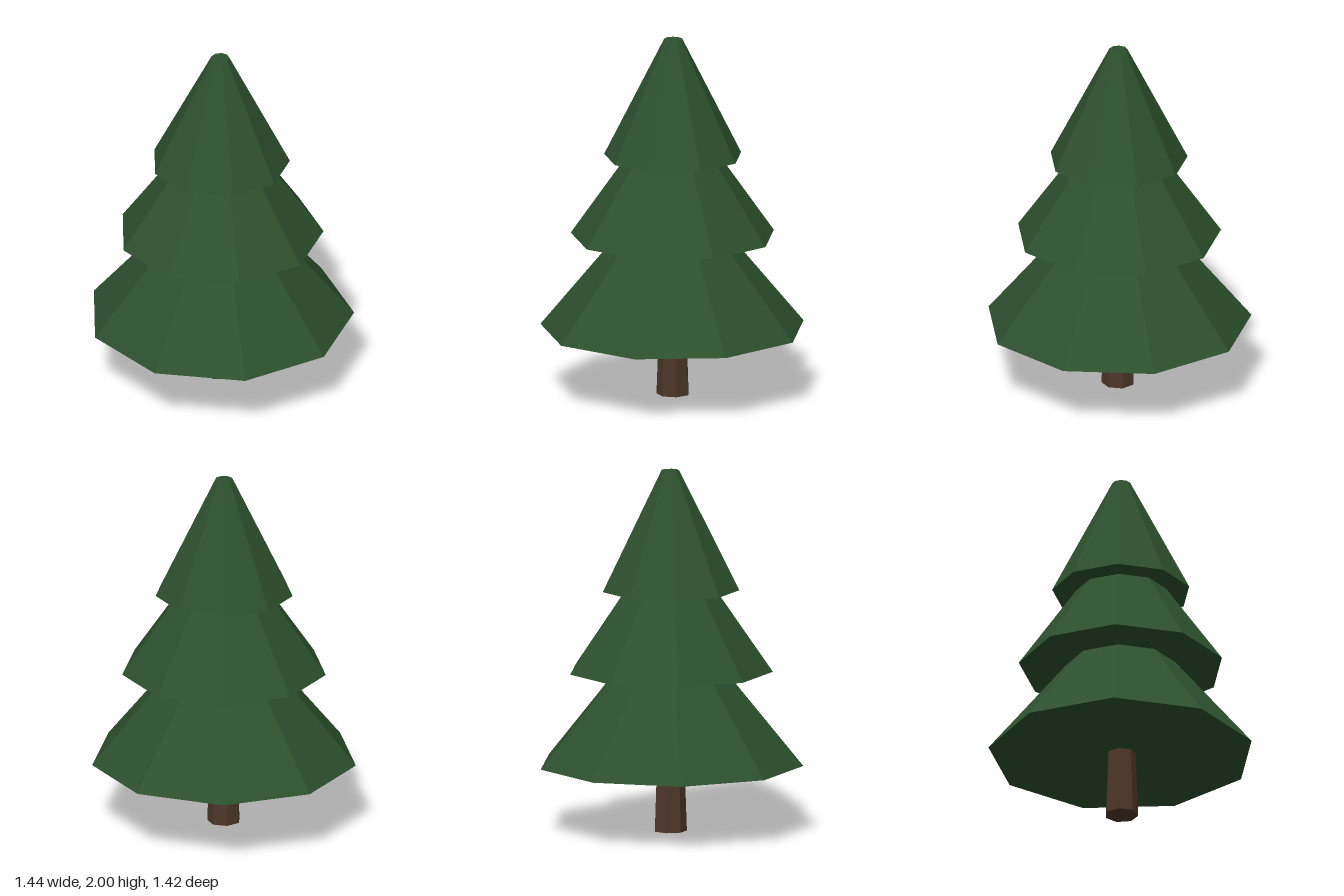
import * as THREE from 'three';

const green = new THREE.MeshStandardMaterial({ color: 0x2d502e, flatShading: true });
const brown = new THREE.MeshStandardMaterial({ color: 0x4d3629, flatShading: true });

// Tapered prism standing on y = bottom, with one corner pointing to the back
function taper(name, material, sides, rBottom, rTop, bottom, top) {
  const geometry = new THREE.CylinderGeometry(rTop, rBottom, top - bottom, sides, 1, false, Math.PI);
  const mesh = new THREE.Mesh(geometry, material);
  mesh.name = name;
  mesh.position.y = (bottom + top) / 2;
  return mesh;
}

export function createModel() {
  const tree = new THREE.Group();
  tree.name = 'pineTree';

  // Seven-sided trunk, its top hidden in the foliage
  tree.add(taper('trunk', brown, 7, 0.092, 0.076, 0, 0.45));

  // Nine-sided foliage tiers: name, bottom radius, top radius, bottom, top
  const tiers = [
    ['lowerFoliage', 0.732, 0.09, 0.37, 1.15],
    ['middleFoliage', 0.565, 0.07, 0.89, 1.6],
    ['upperFoliage', 0.381, 0.05, 1.34, 2],
  ];
  for (const [name, ...size] of tiers) tree.add(taper(name, green, 9, ...size));

  // Odd-sided tiers reach further back than forward, so shift to centre them
  tree.position.z = 0.022;
  const model = new THREE.Group();
  model.add(tree);
  return model;
}
